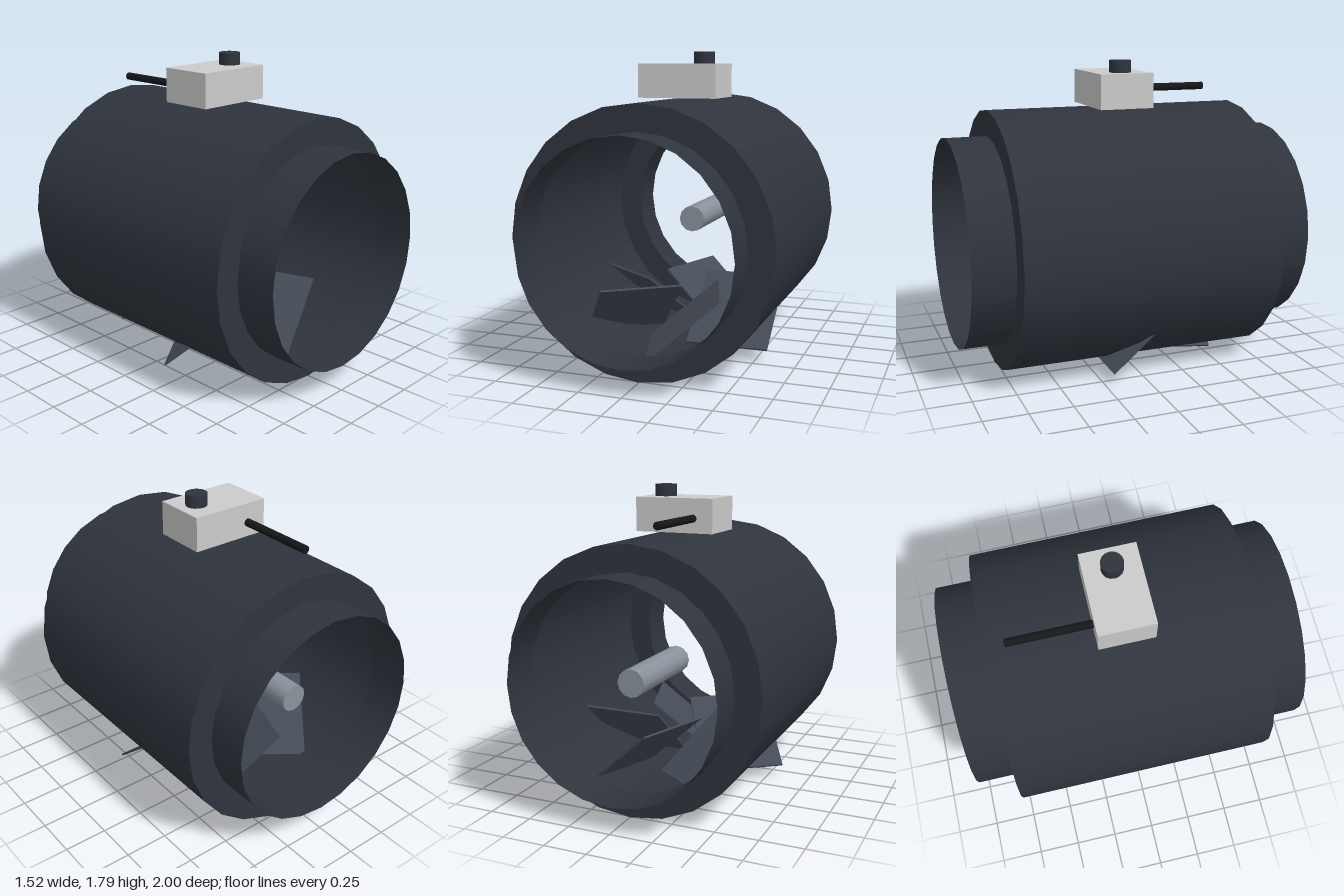
import * as THREE from 'three';

const SIDES = 24, AXIS_Y = 0.76;
const mat = (color) => new THREE.MeshStandardMaterial({ color, side: THREE.DoubleSide });

export function createModel() {
  const model = new THREE.Group();
  const shell = mat(0x2f343d), steel = mat(0x8a929c), bladeMat = mat(0x454c57);
  const black = mat(0x15171a), grey = mat(0xcccccc);

  const add = (name, geometry, material, x, y, z) => {
    const mesh = new THREE.Mesh(geometry, material);
    mesh.name = name;
    mesh.position.set(x, y, z);
    model.add(mesh);
    return mesh;
  };
  // Cylinder lying along z between two ends
  const along = (name, material, r, z0, z1, x, y, sides, open = false) => {
    const g = new THREE.CylinderGeometry(r, r, z1 - z0, sides, 1, open).rotateX(Math.PI / 2);
    return add(name, g, material, x, y, (z0 + z1) / 2);
  };

  // Hollow duct: wide thin-walled body
  along('ductBody', shell, 0.76, -0.76, 0.76, 0, AXIS_Y, SIDES, true);

  // Flat flange and narrower collar at each end
  for (const s of [-1, 1]) {
    const end = s > 0 ? 'front' : 'back';
    const flange = add(end + 'Flange', new THREE.RingGeometry(0.61, 0.76, SIDES), shell, 0, AXIS_Y, s * 0.76);
    if (s < 0) flange.rotation.y = Math.PI;
    along(end + 'Collar', shell, 0.61, s > 0 ? 0.76 : -1, s > 0 ? 1 : -0.76, 0, AXIS_Y, SIDES, true);
  }

  // Shaft on the duct axis
  along('shaft', steel, 0.08, -0.73, -0.12, 0, AXIS_Y, 12);

  // Five pitched blades around a vertical axis, tips poking through the duct
  const fan = new THREE.Group();
  fan.name = 'fan';
  fan.position.y = 0.245;
  const bladeGeo = new THREE.BoxGeometry(0.495, 0.012, 0.54)
    .rotateX(THREE.MathUtils.degToRad(40))
    .translate(0.3275, 0, 0);
  for (let i = 0; i < 5; i++) {
    const blade = new THREE.Mesh(bladeGeo, bladeMat);
    blade.name = 'blade' + (i + 1);
    blade.rotation.y = (i * Math.PI * 2) / 5;
    fan.add(blade);
  }
  model.add(fan);

  // Control box with knob and rear rod
  add('controlBox', new THREE.BoxGeometry(0.48, 0.2, 0.32), grey, 0, 1.62, 0);
  add('knob', new THREE.CylinderGeometry(0.063, 0.063, 0.07, 16), shell, 0.12, 1.755, 0);
  along('rearRod', black, 0.023, -0.64, -0.16, -0.12, 1.605, 12);

  return model;
}
